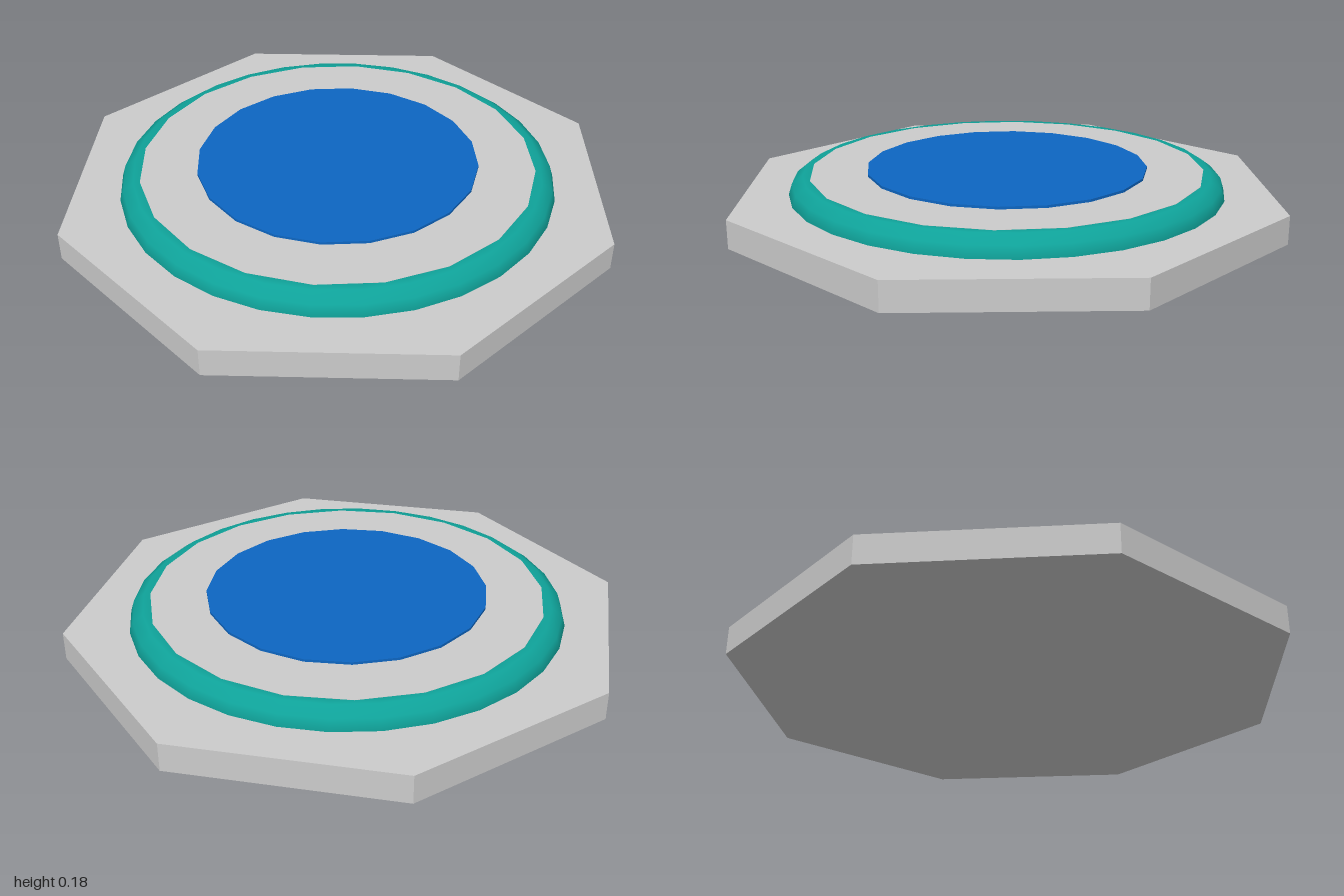
import * as THREE from 'three';

export function createModel() {
  const group = new THREE.Group();

  const add = (name, geometry, y, color, flatShading) => {
    const mesh = new THREE.Mesh(geometry, new THREE.MeshStandardMaterial({ color, flatShading }));
    mesh.name = name;
    mesh.position.y = y;
    group.add(mesh);
  };

  // Prism standing between two heights
  const slab = (name, radius, bottom, top, sides, color) =>
    add(name, new THREE.CylinderGeometry(radius, radius, top - bottom, sides),
      (top + bottom) / 2, color, true);

  // Octagonal base, raised disc and centre pad
  slab('base', 1, 0, 0.1, 8, 0xcccccc);
  slab('raisedDisc', 0.7, 0.1, 0.167, 20, 0xcccccc);
  slab('centrePad', 0.5, 0.155, 0.176, 20, 0x0d66c2);

  // Rounded ring around the raised disc
  const ring = new THREE.TorusGeometry(0.7, 0.075, 10, 30).rotateX(-Math.PI / 2);
  add('ring', ring, 0.095, 0x0fa39a, false);

  return group;
}
